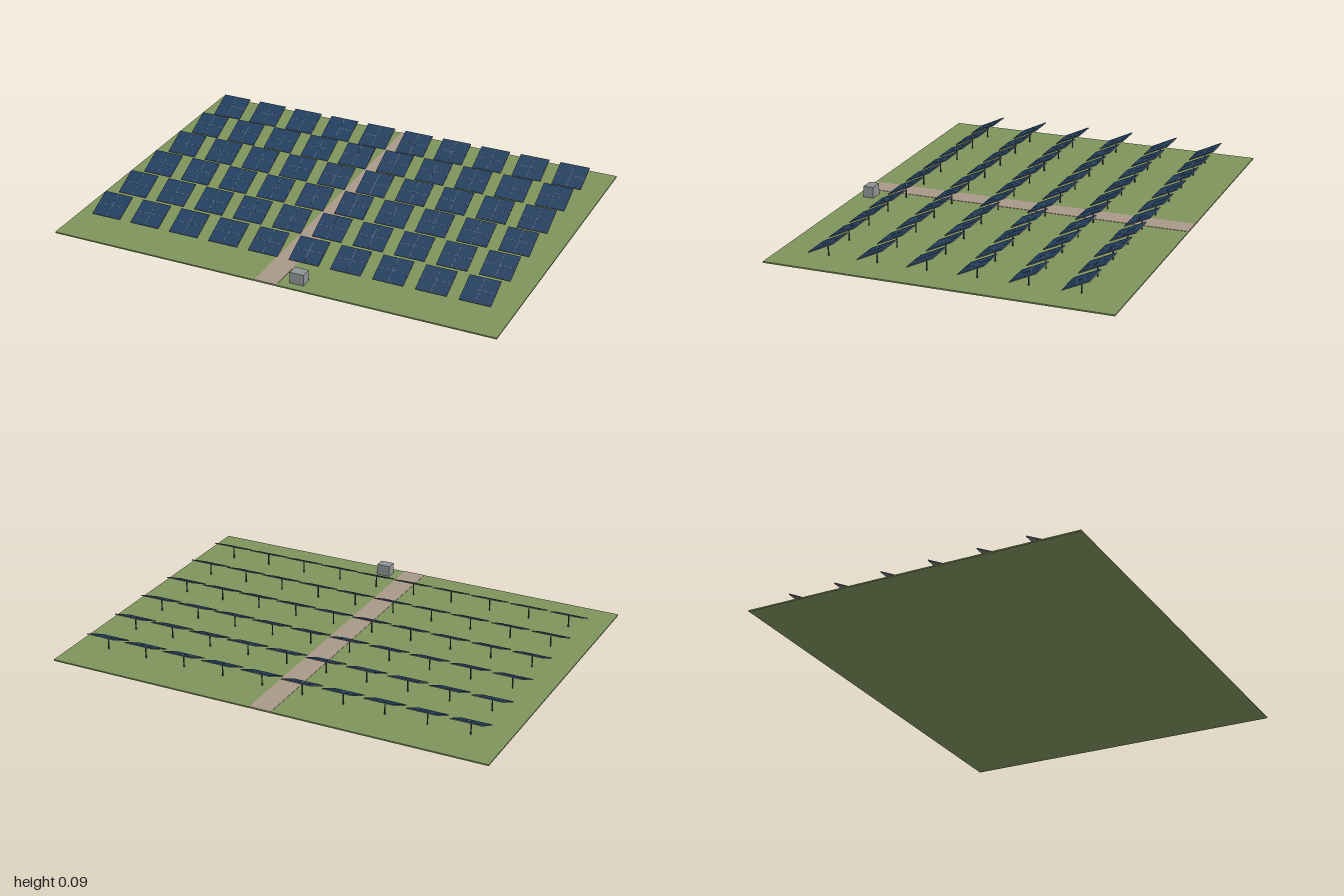
import * as THREE from 'three';

const material = (color) => new THREE.MeshStandardMaterial({ color });

export function createModel() {
  const model = new THREE.Group();
  model.name = 'solarFarm';

  const grass = material(0x7f945c);
  const gravel = material(0xa89888);
  const cells = material(0x223f60);
  const metal = material(0x777b80);
  const postMetal = material(0x44484c);
  const cabinetGrey = material(0x8f9496);

  function box(parent, name, size, position, mat) {
    const mesh = new THREE.Mesh(new THREE.BoxGeometry(...size), mat);
    mesh.name = name;
    mesh.position.set(...position);
    parent.add(mesh);
    return mesh;
  }

  // Field and the path running through it
  const groundTop = 0.006;
  box(model, 'ground', [2, groundTop, 1.5], [0, groundTop / 2, 0], grass);
  box(model, 'path', [0.1, 0.002, 1.5], [0, groundTop + 0.0005, 0], gravel);

  // One post-mounted panel, its low edge toward the front
  const width = 0.136, length = 0.127, thick = 0.004, centreY = 0.062;
  const postGeometry = new THREE.CylinderGeometry(0.003, 0.003, centreY - groundTop, 8);

  function solarPanel(x, z) {
    const unit = new THREE.Group();
    unit.name = 'solarPanel';
    unit.position.set(x, 0, z);

    const post = new THREE.Mesh(postGeometry, postMetal);
    post.name = 'post';
    post.position.y = (centreY + groundTop) / 2;
    unit.add(post);

    const tilted = new THREE.Group();
    tilted.name = 'tiltedPanel';
    tilted.position.y = centreY;
    tilted.rotation.x = THREE.MathUtils.degToRad(25);
    unit.add(tilted);
    box(tilted, 'frame', [width, thick, length], [0, 0, 0], metal);
    box(tilted, 'cellSheet', [width - 0.003, 0.001, length - 0.003], [0, thick / 2 + 0.0003, 0], cells);
    // Seams dividing the sheet into four
    const seamY = thick / 2 + 0.0008;
    box(tilted, 'lengthSeam', [0.0015, 0.0008, length - 0.003], [0, seamY, 0], metal);
    box(tilted, 'crossSeam', [width - 0.003, 0.0008, 0.0015], [0, seamY, 0], metal);
    return unit;
  }

  // Six rows of ten panels
  const columns = 10, rows = 6, stepX = 0.1877, stepZ = 0.2184;
  for (let r = 0; r < rows; r++) {
    const row = new THREE.Group();
    row.name = 'panelRow';
    for (let c = 0; c < columns; c++) {
      row.add(solarPanel((c - (columns - 1) / 2) * stepX, 0.532 - r * stepZ));
    }
    model.add(row);
  }

  // Inverter cabinet beside the path
  box(model, 'inverterCabinet', [0.062, 0.05, 0.047], [0.122, groundTop + 0.025, 0.688], cabinetGrey);

  return model;
}
